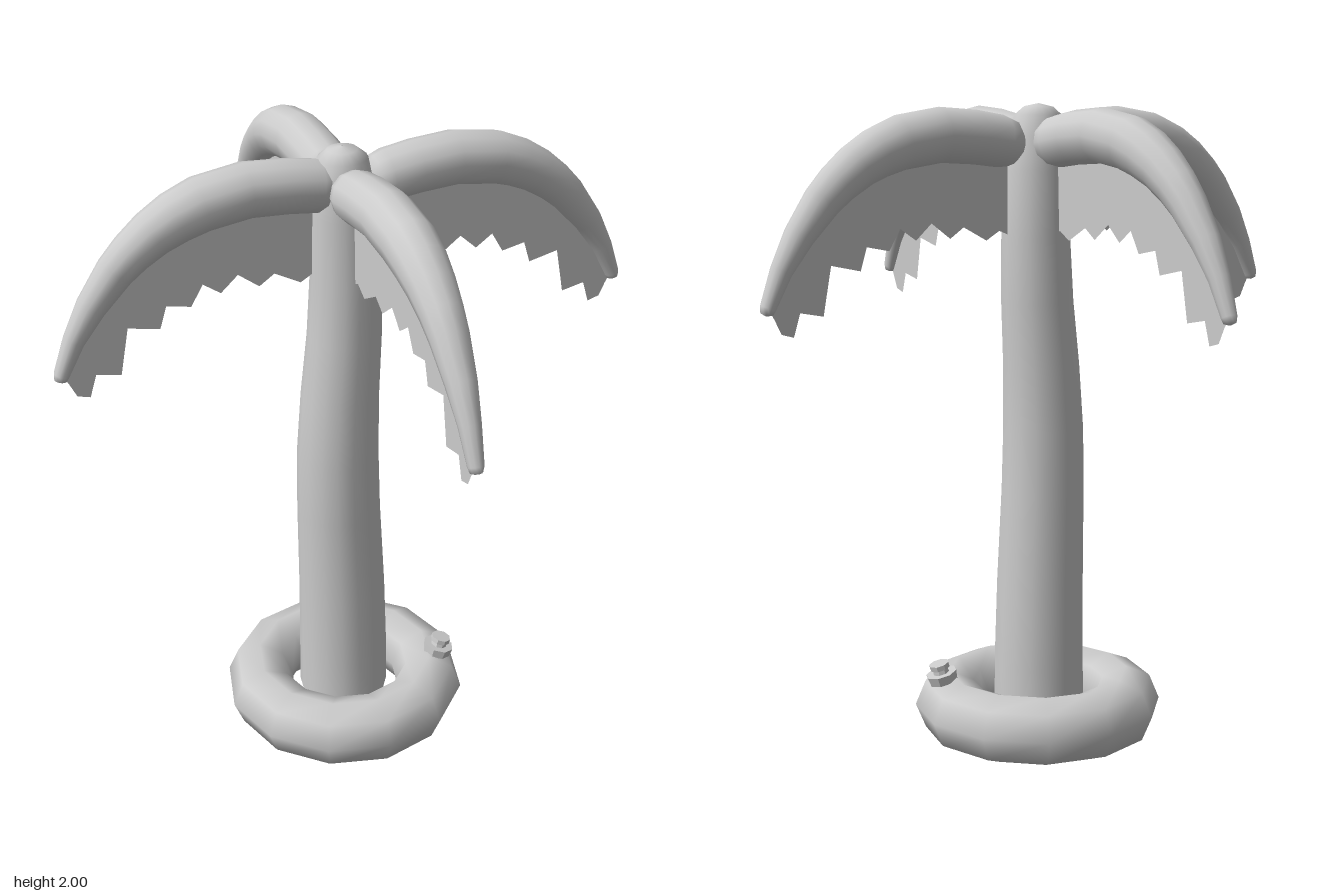
import * as THREE from 'three';

const grey = new THREE.MeshStandardMaterial({ color: 0xcccccc });
const sheet = new THREE.MeshStandardMaterial({ color: 0xcccccc, side: THREE.DoubleSide });

function mesh(name, geometry, material = grey) {
  const m = new THREE.Mesh(geometry, material);
  m.name = name;
  return m;
}

// Round tube of changing radius along [x, y, radius] stations in the xy plane
function taperedTube(stations, sides) {
  const positions = [], index = [];
  const last = stations.length - 1;
  stations.forEach(([x, y, r], i) => {
    const a = stations[Math.max(i - 1, 0)], b = stations[Math.min(i + 1, last)];
    const t = new THREE.Vector2(b[0] - a[0], b[1] - a[1]).normalize();
    for (let j = 0; j < sides; j++) {
      const angle = (j / sides) * Math.PI * 2;
      const n = r * Math.cos(angle);
      positions.push(x - t.y * n, y + t.x * n, r * Math.sin(angle));
      if (i === last) continue;
      const p = i * sides + j, q = i * sides + (j + 1) % sides;
      index.push(p, q, p + sides, q, q + sides, p + sides);
    }
  });
  const g = new THREE.BufferGeometry();
  g.setAttribute('position', new THREE.Float32BufferAttribute(positions, 3));
  g.setIndex(index);
  g.computeVertexNormals();
  return g;
}

// Frond: arched inflated rib with a jagged sheet hanging below it
const rib = [
  [0.045, 1.88, 0.001], [0.05, 1.88, 0.045], [0.075, 1.883, 0.07], [0.11, 1.889, 0.078],
  [0.2, 1.902, 0.08], [0.32, 1.91, 0.081], [0.455, 1.89, 0.08], [0.53, 1.862, 0.075],
  [0.598, 1.825, 0.068], [0.66, 1.778, 0.061], [0.71, 1.73, 0.055], [0.785, 1.635, 0.044],
  [0.842, 1.54, 0.032], [0.885, 1.44, 0.023], [0.889, 1.424, 0.018], [0.89, 1.418, 0.001],
];
const jaggedEdge = [
  [0.865, 1.405], [0.845, 1.363], [0.807, 1.352], [0.786, 1.42], [0.712, 1.405],
  [0.685, 1.548], [0.59, 1.527], [0.569, 1.595], [0.495, 1.58], [0.458, 1.643],
  [0.405, 1.606], [0.352, 1.654], [0.288, 1.606], [0.241, 1.638], [0.161, 1.595],
  [0.115, 1.622], [0.085, 1.61],
];

function frond(name) {
  const group = new THREE.Group();
  group.name = name;
  const outline = [...rib.slice(3, 14).map(([x, y]) => [x, y]), ...jaggedEdge, [0.085, 1.88]];
  const shape = new THREE.Shape(outline.map(([x, y]) => new THREE.Vector2(x, y)));
  group.add(mesh('frondRib', taperedTube(rib, 12)));
  group.add(mesh('frondLeaf', new THREE.ShapeGeometry(shape), sheet));
  return group;
}

// Air valve: octagonal collar, neck and cap
function valve() {
  const group = new THREE.Group();
  group.name = 'airValve';
  const parts = [
    ['valveCollar', 0.05, 0.046, 0.03, 0],
    ['valveNeck', 0.022, 0.028, 0.03, 0.022],
    ['valveCap', 0.032, 0.032, 0.016, 0.038],
  ];
  for (const [name, top, bottom, height, y] of parts) {
    const part = mesh(name, new THREE.CylinderGeometry(top, bottom, height, 8).toNonIndexed());
    part.geometry.computeVertexNormals();
    part.position.y = y;
    group.add(part);
  }
  return group;
}

export function createModel() {
  const model = new THREE.Group();
  model.name = 'inflatablePalmTree';

  // Base ring
  const ring = mesh('baseRing', new THREE.TorusGeometry(0.284, 0.108, 8, 12));
  ring.rotation.x = Math.PI / 2;
  ring.position.set(-0.03, 0.11, -0.01);
  model.add(ring);

  // Bent trunk with a domed crown and a flat underside
  const trunk = mesh('trunk', taperedTube([
    [-0.034, 0.11, 0.144], [-0.034, 0.25, 0.143], [-0.038, 0.5, 0.138], [-0.048, 0.8, 0.131],
    [-0.05, 1.0, 0.127], [-0.042, 1.2, 0.12], [-0.027, 1.4, 0.113], [-0.021, 1.6, 0.107],
    [-0.024, 1.8, 0.1], [-0.03, 1.9, 0.086], [-0.031, 1.965, 0.074], [-0.032, 1.99, 0.045],
    [-0.032, 2.0, 0.001],
  ], 16));
  trunk.position.z = -0.008;
  model.add(trunk);

  const underside = mesh('trunkUnderside', new THREE.CircleGeometry(0.144, 16));
  underside.rotation.x = Math.PI / 2;
  underside.position.set(-0.034, 0.11, -0.008);
  model.add(underside);

  // Four fronds, one per quarter turn
  ['leftFrond', 'backFrond', 'rightFrond', 'frontFrond'].forEach((name, i) => {
    const f = frond(name);
    f.rotation.y = (i * Math.PI) / 2;
    if (i % 2) f.position.x = -0.035;
    else f.position.z = -0.013;
    f.scale.x = 1.008;
    model.add(f);
  });

  // Valve leaning outward on top of the ring
  const v = valve();
  v.position.set(0.265, 0.218, 0.095);
  v.rotation.set(0.07, 0, -0.25);
  model.add(v);

  return model;
}
